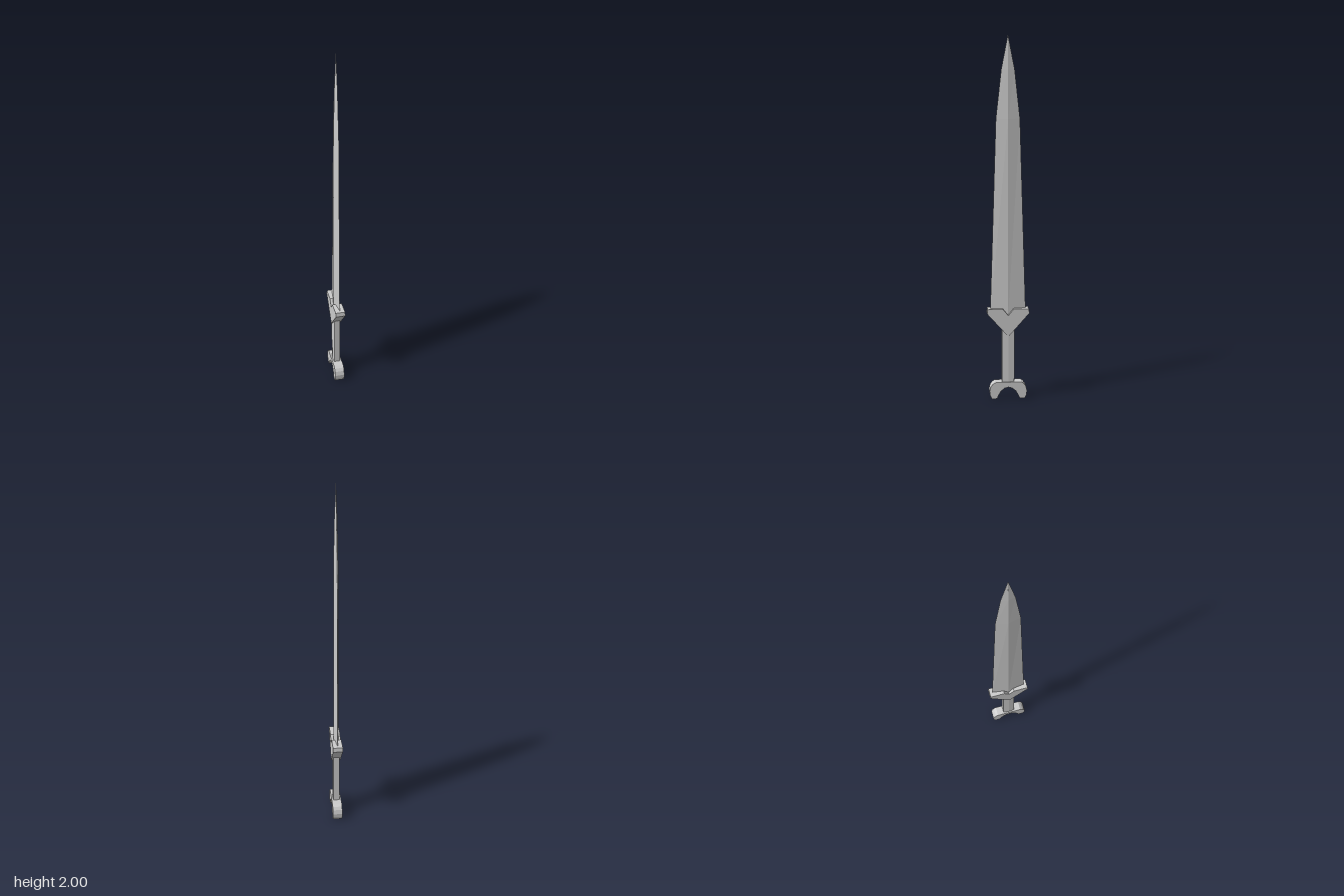
import * as THREE from 'three';

const material = new THREE.MeshStandardMaterial({ color: 0xcccccc, flatShading: true });

// Skin a ring of unit [x, z] corners through levels of [y, halfX, halfZ], capped at both ends
function loft(ring, levels) {
  const n = ring.length;
  const pos = [];
  const index = [];
  for (const [y, hx, hz] of levels) {
    for (const [x, z] of ring) pos.push(x * hx, y, z * hz);
  }
  for (let l = 0; l < levels.length - 1; l++) {
    for (let i = 0; i < n; i++) {
      const a = l * n + i;
      const b = l * n + (i + 1) % n;
      index.push(a, b, b + n, a, b + n, a + n);
    }
  }
  const top = (levels.length - 1) * n;
  for (let i = 1; i < n - 1; i++) {
    index.push(0, i + 1, i, top, top + i, top + i + 1);
  }
  const g = new THREE.BufferGeometry();
  g.setAttribute('position', new THREE.Float32BufferAttribute(pos, 3));
  g.setIndex(index);
  const flat = g.toNonIndexed();
  flat.computeVertexNormals();
  return flat;
}

// Extrude a mirrored [z, y] outline across the width of the sword
function plate(half, width) {
  const mirrored = half.filter(([z]) => z > 0).reverse().map(([z, y]) => [-z, y]);
  const shape = new THREE.Shape([...half, ...mirrored].map(([z, y]) => new THREE.Vector2(z, y)));
  const g = new THREE.ExtrudeGeometry(shape, { depth: width, bevelEnabled: false });
  g.translate(0, 0, -width / 2);
  g.rotateY(-Math.PI / 2);
  return g;
}

export function createModel() {
  const sword = new THREE.Group();
  sword.name = 'sword';
  const add = (name, geometry) => {
    const mesh = new THREE.Mesh(geometry, material);
    mesh.name = name;
    sword.add(mesh);
  };

  // Blade: diamond section narrowing to a point
  const diamond = [[0, 1], [1, 0], [0, -1], [-1, 0]];
  add('blade', loft(diamond, [
    [0.475, 0.014, 0.099],
    [1.56, 0.013, 0.065],
    [1.82, 0.008, 0.036],
    [2.0, 0.0005, 0.0005],
  ]));

  // Guard: downward wedge with a V notch in its top
  add('guard', plate([
    [0, 0.36], [0.117, 0.492], [0.114, 0.517], [0.03, 0.517], [0, 0.48],
  ], 0.055));

  // Grip: six-sided bar with a shallow ridge on each broad side
  const hexagon = [[-0.85, 1], [0.85, 1], [1, 0], [0.85, -1], [-0.85, -1], [-1, 0]];
  add('grip', loft(hexagon, [[0.08, 0.02, 0.034], [0.42, 0.02, 0.034]]));

  // Pommel: crescent opening downward
  add('pommel', plate([
    [0, 0.068], [0.022, 0.062], [0.042, 0.045], [0.055, 0.022], [0.063, 0.003],
    [0.092, 0], [0.102, 0.022], [0.105, 0.045], [0.099, 0.07], [0.088, 0.086], [0.074, 0.096],
  ], 0.055));

  return sword;
}
